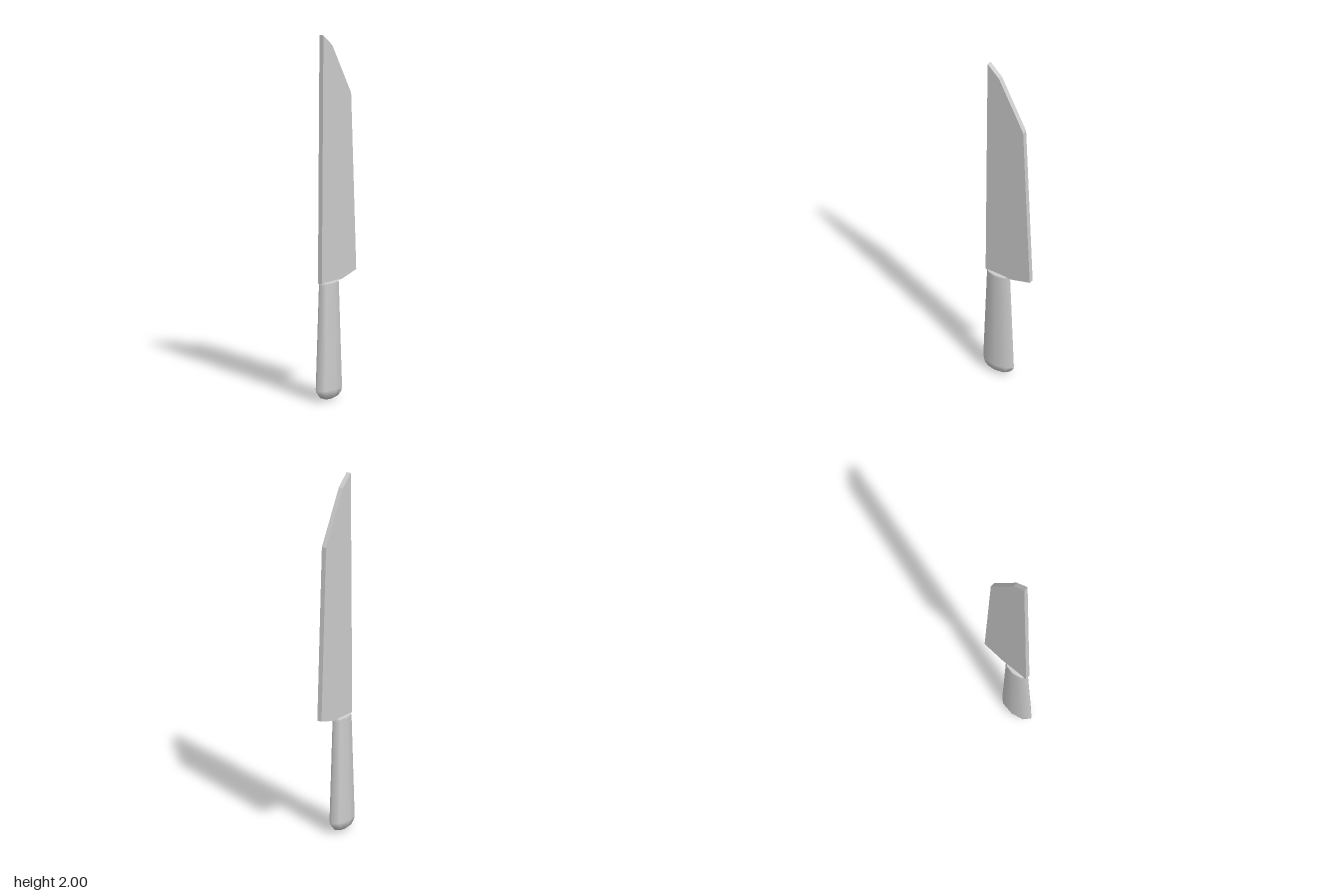
import * as THREE from 'three';

export function createModel() {
  const group = new THREE.Group();
  const material = new THREE.MeshStandardMaterial({ color: 0xcccccc });

  // Blade: flat plate, outlined in (z, y) and extruded across x
  const thickness = 0.027;
  const outline = [
    [0.133, 0.643], [-0.035, 0.643], [-0.158, 0.675],
    [-0.115, 1.645], [0.045, 1.935], [0.12, 2.0],
  ].map(([z, y]) => new THREE.Vector2(z, y));
  const bladeGeometry = new THREE.ExtrudeGeometry(new THREE.Shape(outline), {
    depth: thickness, bevelEnabled: false,
  });
  bladeGeometry.rotateY(-Math.PI / 2);
  bladeGeometry.translate(thickness / 2, 0, 0);
  const blade = new THREE.Mesh(bladeGeometry, material);
  blade.name = 'blade';
  group.add(blade);

  // Handle: eight-sided tapered grip, flattened in x, rounded at the butt
  const profile = [
    [0, 0], [0.035, 0.006], [0.072, 0.018], [0.095, 0.042], [0.101, 0.06],
    [0.076, 0.635], [0.071, 0.646], [0, 0.646],
  ].map(([r, y]) => new THREE.Vector2(r, y));
  const handleGeometry = new THREE.LatheGeometry(profile, 8);
  handleGeometry.scale(0.455, 1, 1);
  handleGeometry.translate(0, 0, 0.057);
  const handle = new THREE.Mesh(handleGeometry, material);
  handle.name = 'handle';
  group.add(handle);

  return group;
}
